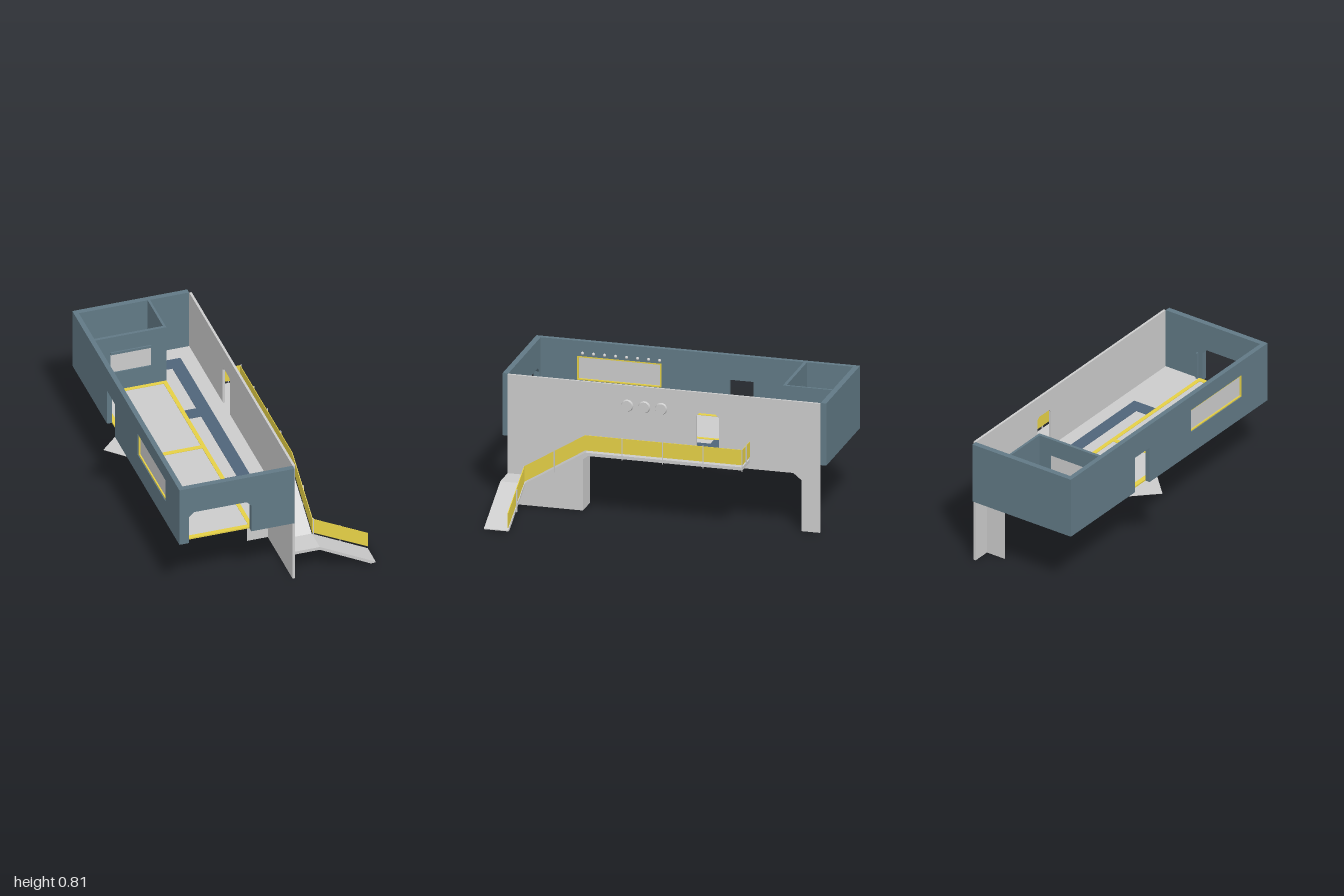
import * as THREE from 'three';

const mat = (color) => new THREE.MeshStandardMaterial({ color, side: THREE.DoubleSide });

export function createModel() {
  const model = new THREE.Group();
  const grey = mat(0xcccccc), blue = mat(0x617985), yellow = mat(0xe5d046), navy = mat(0x4f647a);

  const add = (name, geometry, material) => {
    const mesh = new THREE.Mesh(geometry, material);
    mesh.name = name;
    model.add(mesh);
    return mesh;
  };
  // box given by its min and max corners
  const box = (name, m, x0, x1, y0, y1, z0, z1) =>
    add(name, new THREE.BoxGeometry(x1 - x0, y1 - y0, z1 - z0)
      .translate((x0 + x1) / 2, (y0 + y1) / 2, (z0 + z1) / 2), m);
  const vec = (pts) => pts.map(([a, b]) => new THREE.Vector2(a, b));
  const rect = (a0, a1, b0, b1) => [[a0, b0], [a1, b0], [a1, b1], [a0, b1]];
  const extrude = (pts, depth, holes = []) => {
    const shape = new THREE.Shape(vec(pts));
    holes.forEach((h) => shape.holes.push(new THREE.Path(vec(h))));
    return new THREE.ExtrudeGeometry(shape, { depth, bevelEnabled: false });
  };
  // outlines in (x, y), (z, y) and (x, z)
  const alongZ = (name, m, pts, z0, z1, holes) =>
    add(name, extrude(pts, z1 - z0, holes).translate(0, 0, z0), m);
  const alongX = (name, m, pts, x0, x1, holes) =>
    add(name, extrude(pts, x1 - x0, holes).rotateY(-Math.PI / 2).translate(x1, 0, 0), m);
  const flat = (name, m, pts, y0, y1, holes) =>
    add(name, extrude(pts, y1 - y0, holes).rotateX(Math.PI / 2).translate(0, y1, 0), m);

  const F = 0.42, T = 0.81; // floor level and wall top

  // outer walls
  alongZ('frontWall', blue, [[-0.58, F], [-0.52, F], [-0.52, 0.605], [-0.49, 0.635], [-0.16, 0.635],
    [-0.13, 0.605], [-0.13, F], [0.14, F], [0.14, T], [-0.58, T]], 0.965, 1);
  box('backWall', blue, -0.58, 0.14, F, T, -1, -0.965);
  alongX('sideWall', blue, [[-0.965, F], [-0.35, F], [-0.35, 0.655], [-0.2, 0.655], [-0.2, F],
    [0.965, F], [0.965, T], [-0.965, T]], -0.58, -0.55, [rect(0.22, 0.74, 0.565, 0.715)]);
  box('doorPost', blue, -0.1, -0.09, F, 0.6, 0.95, 0.965);

  // side window with yellow trim and a row of lamps above
  alongX('windowTrim', yellow, rect(0.22, 0.74, 0.565, 0.715), -0.575, -0.55,
    [rect(0.228, 0.732, 0.573, 0.707)]);
  box('windowPane', grey, -0.566, -0.562, 0.57, 0.71, 0.225, 0.735);
  for (let i = 0; i < 8; i++)
    add('lamp', new THREE.SphereGeometry(0.01, 12, 8).translate(-0.547, 0.735, 0.23 + i * 0.068), grey);

  // tall main wall standing on two legs
  alongX('mainWall', grey, [[-0.965, 0], [-0.85, 0], [-0.85, 0.32], [-0.8, 0.36], [0.45, 0.36],
    [0.5, 0.32], [0.5, 0], [0.965, 0], [0.965, T], [-0.965, T]], 0.14, 0.155,
  [[[-0.34, F], [-0.2, F], [-0.2, 0.66], [-0.22, 0.68], [-0.32, 0.68], [-0.34, 0.66]]]);

  // thin pointed soffit, sloped gussets and leg flanges under the floor
  flat('soffit', grey, [[0.14, 0.45], [-0.04, 0.45], [-0.66, -0.18], [-0.04, -0.8], [0.14, -0.8]], 0.358, 0.36);
  for (const [zLeg, zTop] of [[0.5, 0.45], [-0.85, -0.8]]) {
    box('legFlange', grey, 0.01, 0.14, 0, 0.32, zLeg - 0.001, zLeg + 0.001);
    const gusset = new THREE.BufferGeometry();
    gusset.setAttribute('position', new THREE.Float32BufferAttribute(
      [0.14, 0.32, zLeg, 0.01, 0.32, zLeg, -0.04, 0.36, zTop, 0.14, 0.36, zTop], 3));
    gusset.setIndex([0, 1, 2, 0, 2, 3]);
    gusset.computeVertexNormals();
    add('legGusset', gusset, grey);
  }

  // portholes
  for (const z of [0.225, 0.12, 0.015])
    add('porthole', new THREE.CylinderGeometry(0.032, 0.037, 0.012, 32)
      .rotateZ(-Math.PI / 2).translate(0.161, 0.685, z), grey);

  // back room
  alongZ('roomWall', blue, rect(-0.55, -0.105, F, T), -0.68, -0.66, [rect(-0.455, -0.2, 0.555, 0.7)]);
  box('roomWindow', grey, -0.455, -0.2, 0.555, 0.7, -0.672, -0.668);
  box('roomWindowHood', blue, -0.455, -0.2, 0.69, 0.705, -0.665, -0.65);
  alongX('roomSideWall', blue, [[-0.965, F], [-0.86, F], [-0.86, 0.6], [-0.84, 0.62], [-0.79, 0.62],
    [-0.77, 0.6], [-0.77, F], [-0.68, F], [-0.68, T], [-0.965, T]], -0.12, -0.105);

  // floors
  const y0 = F, y1 = F + 0.006;
  box('roomFloor', grey, -0.55, -0.11, y0, y1, -0.965, -0.66);
  box('corridorFloor', grey, -0.105, 0.14, y0, y1, -0.965, 0.965);
  const bays = [[-0.635, 0.055], [0.085, 0.935]];
  flat('floorFrame', yellow, rect(-0.55, -0.105, -0.66, 0.965), y0, y1 + 0.003,
    bays.map(([a, b]) => rect(-0.52, -0.13, a, b)));
  for (const [a, b] of bays) box('floorPanel', grey, -0.52, -0.13, y0 + 0.001, y1, a, b);
  flat('floorPath', navy, [[-0.105, -0.86], [0.05, -0.86], [0.05, 0.52], [-0.105, 0.52], [-0.105, 0.43],
    [-0.03, 0.43], [-0.03, -0.235], [-0.105, -0.235], [-0.105, -0.325], [-0.03, -0.325],
    [-0.03, -0.77], [-0.105, -0.77]], y1, y1 + 0.003);

  // outside walkway, landing and lower ramp
  alongX('walkway', grey, [[-0.53, 0.42], [0.44, 0.42], [0.815, 0.19], [0.965, 0.19], [0.965, 0.17],
    [0.81, 0.17], [0.435, 0.4], [-0.53, 0.4]], 0.155, 0.31);
  alongZ('lowerRamp', grey, [[0.31, 0.19], [0.66, 0.01], [0.66, 0.005], [0.63, 0.003], [0.31, 0.17]], 0.815, 0.965);

  // yellow railings
  alongX('walkwayRail', yellow, [[-0.53, 0.435], [0.44, 0.435], [0.82, 0.2], [0.82, 0.297],
    [0.44, 0.53], [-0.53, 0.53]], 0.311, 0.315);
  box('endRail', yellow, 0.155, 0.315, 0.435, 0.53, -0.532, -0.528);
  alongZ('rampRail', yellow, [[0.313, 0.2], [0.66, 0.025], [0.66, 0.12], [0.313, 0.297]], 0.815, 0.819);

  // rail posts
  const post = (x, z, a, b) => box('railPost', grey, x - 0.003, x + 0.003, a, b, z - 0.003, z + 0.003);
  for (const z of [-0.53, -0.29, -0.04, 0.21]) post(0.318, z, 0.395, 0.535);
  post(0.318, 0.63, 0.28, 0.415);
  post(0.318, 0.82, 0.16, 0.3);
  post(0.24, -0.535, 0.42, 0.535);
  post(0.488, 0.812, 0.07, 0.21);

  return model;
}
